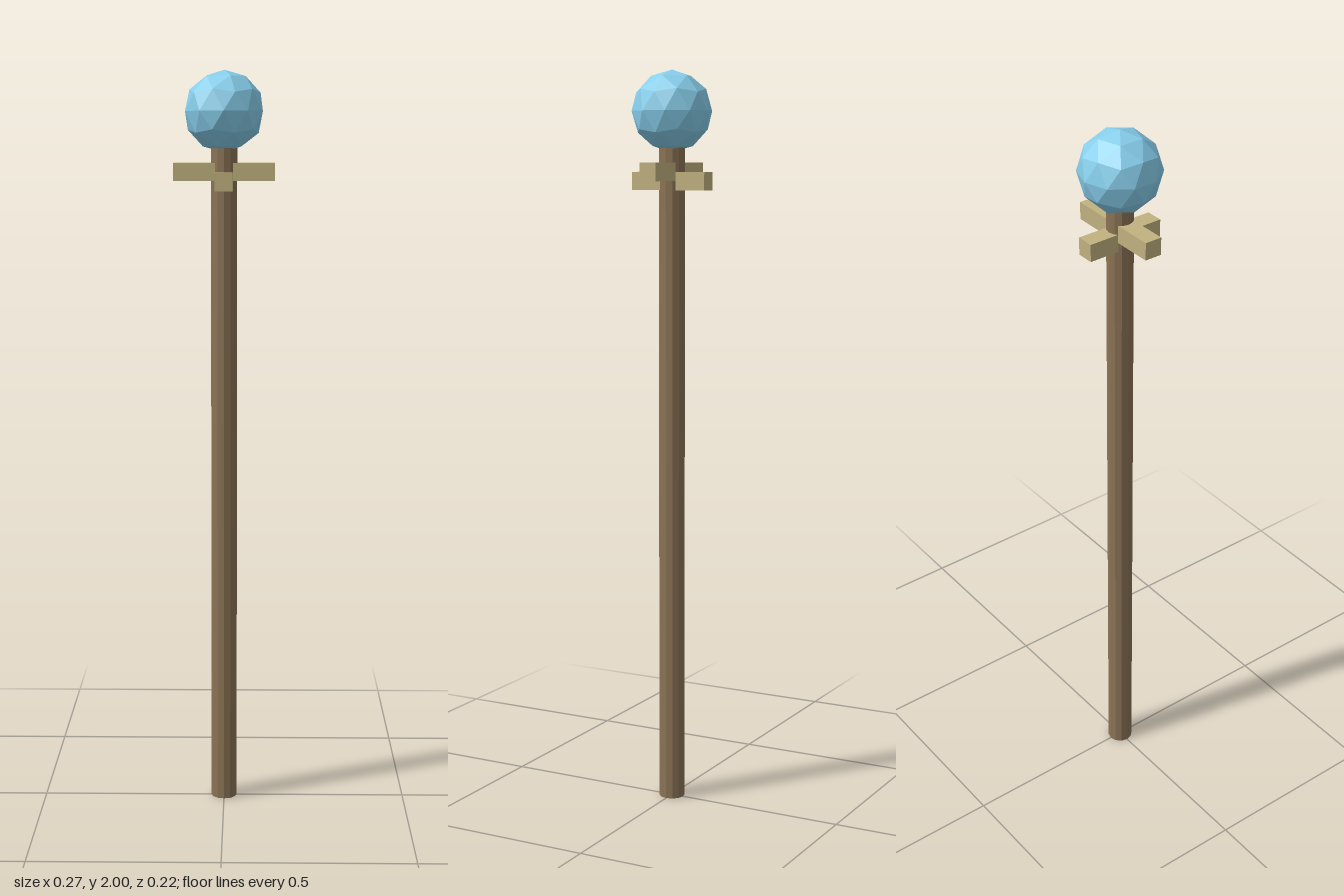
import * as THREE from 'three';

export function createModel() {
  const group = new THREE.Group();

  const add = (name, geometry, color, y) => {
    const material = new THREE.MeshStandardMaterial({ color, flatShading: true });
    const mesh = new THREE.Mesh(geometry, material);
    mesh.name = name;
    mesh.position.y = y;
    group.add(mesh);
  };

  // Long wooden shaft, its top tucked into the orb
  add('shaft', new THREE.CylinderGeometry(0.035, 0.035, 1.81, 12), 0x8b7355, 0.905);

  // Two crossed bars below the orb, the side-to-side one slightly higher
  add('sideBar', new THREE.BoxGeometry(0.27, 0.048, 0.048), 0xc2b280, 1.733);
  add('frontBackBar', new THREE.BoxGeometry(0.048, 0.048, 0.218), 0xc2b280, 1.708);

  // Faceted orb, turned so that one corner points straight up
  const radius = 0.108;
  const orb = new THREE.IcosahedronGeometry(radius, 1);
  orb.rotateZ(-Math.atan(2 / (1 + Math.sqrt(5))));
  add('orb', orb, 0x87ceeb, 2 - radius);

  return group;
}
